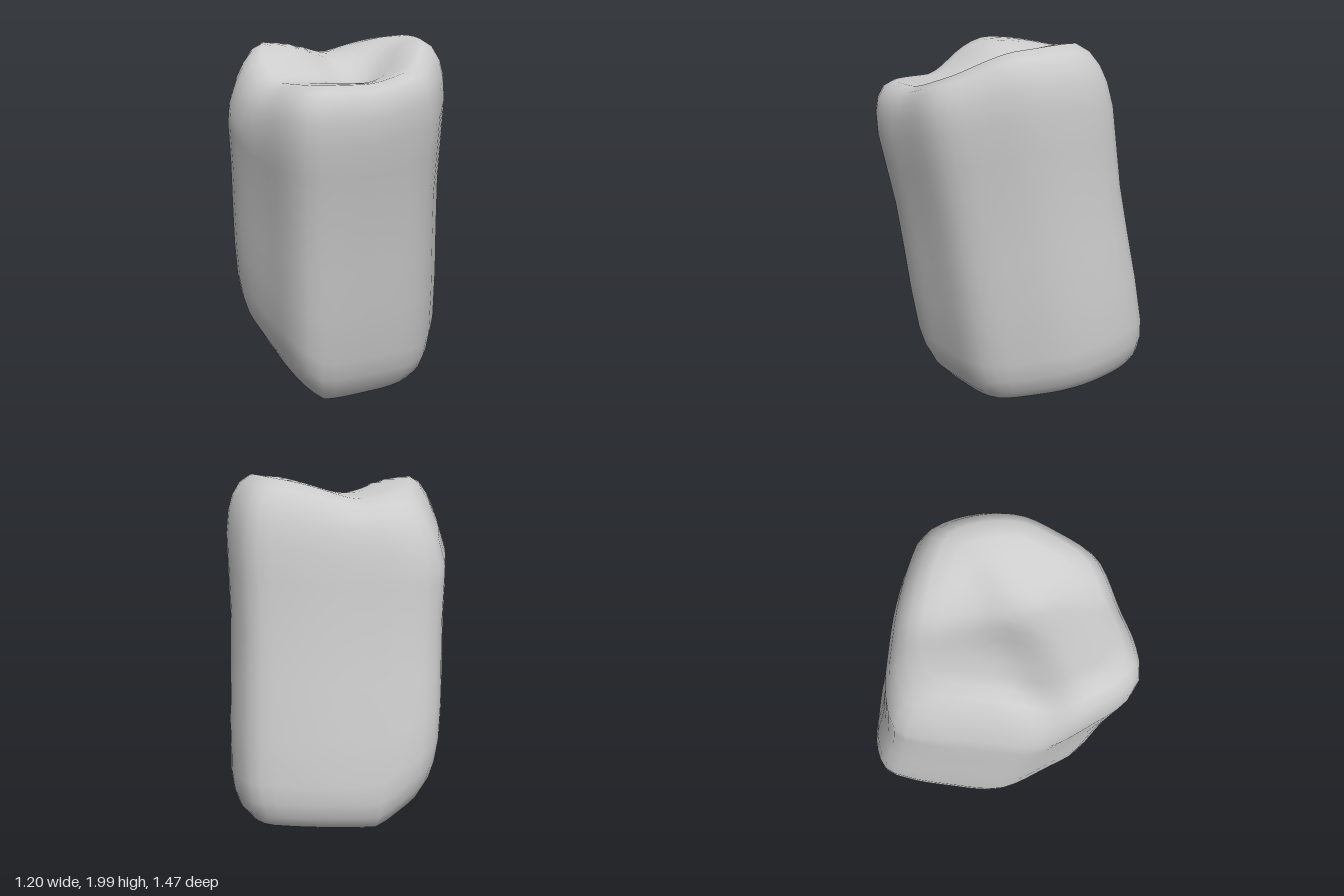
import * as THREE from 'three';

const { smoothstep, lerp } = THREE.MathUtils;
const bump = (x, z, cx, cz, r) => Math.exp(-((x - cx) ** 2 + (z - cz) ** 2) / (r * r));

// Underside: lowest near the front, rising to the back and strongly to the left
const bottomHeight = (x, z) => 0.2 * Math.max(0, 0.25 - z)
  + 0.65 * Math.max(0, -0.1 - 0.12 * smoothstep(-z, -0.1, 0.5) - x);

// Crown: raised rim at the back and right, hollow in the middle, lower ledge in front
function topHeight(x, z) {
  const rightRim = smoothstep(x, 0.1, 0.44);
  const ledge = smoothstep(z + 0.35 * x - 0.14, -0.25, 0.19);
  return 1.965 - 0.2 * ledge * (1 - rightRim)
    - 0.13 * rightRim * smoothstep(z, 0.05, 0.5)
    + 0.035 * bump(x, z, 0.36, -0.18, 0.25)
    - 0.06 * bump(x, z, -0.12, -0.35, 0.2)
    - 0.09 * bump(x, z, 0.02, 0.02, 0.22)
    - 0.1 * bump(x, z, -0.6, -0.5, 0.3);
}

// Horizontal outline at mid height, as x, z pairs
const outline = new THREE.CatmullRomCurve3([
  [-0.19, 0.65], [-0.03, 0.63], [0.17, 0.54], [0.42, 0.4], [0.49, 0.31], [0.55, 0.12],
  [0.585, -0.05], [0.58, -0.22], [0.52, -0.42], [0.44, -0.54], [0.33, -0.58], [0.1, -0.62],
  [-0.13, -0.63], [-0.35, -0.62], [-0.52, -0.55], [-0.57, -0.4], [-0.595, -0.15],
  [-0.605, 0.02], [-0.585, 0.15], [-0.4, 0.43], [-0.29, 0.58],
].map(([x, z]) => new THREE.Vector3(x, 0, z)), true);

// Rings from underside to crown: [outline scale, height share, lift above bottom or below top]
const rings = [
  [0.25, 0, 0], [0.5, 0, 0], [0.75, 0, 0.005], [0.86, 0, 0.03], [0.94, 0, 0.09], [0.985, 0, 0.17], [1.01, 0, 0.28],
  [1.01, 0.3, 0], [0.995, 0.45, 0], [0.985, 0.6, 0], [1, 0.74, 0],
  [1.01, 1, -0.3], [0.99, 1, -0.18], [0.95, 1, -0.1], [0.88, 1, -0.035], [0.78, 1, 0],
  [0.65, 1, 0], [0.52, 1, 0], [0.39, 1, 0], [0.26, 1, 0], [0.13, 1, 0],
];

function pointOnRock(px, pz, scale, share, lift) {
  let x = px * scale, z = pz * scale, y = share * 2;
  // The body leans forward with height, so solve height and lean together
  for (let i = 0; i < 4; i++) {
    z = pz * scale + 0.165 * (y - 1);
    y = lerp(bottomHeight(x, z), topHeight(x, z), share) + lift;
  }
  // Narrow the left flank towards the foot and the crown
  if (x < 0) x *= 1 - 0.08 * (1 - smoothstep(y, 0.2, 1.4)) - 0.12 * smoothstep(y, 1.5, 1.95);
  return [x, y, z];
}

function rockGeometry(sides = 56) {
  const loop = outline.getSpacedPoints(sides).slice(0, sides);
  const positions = [], index = [];
  for (const ring of rings) for (const p of loop) positions.push(...pointOnRock(p.x, p.z, ...ring));

  for (let r = 0; r < rings.length - 1; r++) {
    for (let i = 0; i < sides; i++) {
      const j = (i + 1) % sides;
      const a = r * sides + i, b = r * sides + j;
      index.push(a, b, b + sides, a, b + sides, a + sides);
    }
  }
  // Close both ends on a centre point
  const low = positions.length / 3, high = low + 1, last = (rings.length - 1) * sides;
  positions.push(...pointOnRock(0, 0, 0, 0, 0), ...pointOnRock(0, 0, 0, 1, 0));
  for (let i = 0; i < sides; i++) {
    const j = (i + 1) % sides;
    index.push(low, j, i, high, last + i, last + j);
  }

  const geometry = new THREE.BufferGeometry();
  geometry.setAttribute('position', new THREE.Float32BufferAttribute(positions, 3));
  geometry.setIndex(index);
  // Stand on the ground, centred
  geometry.computeBoundingBox();
  const { min, max } = geometry.boundingBox;
  geometry.translate(-(min.x + max.x) / 2, -min.y, -(min.z + max.z) / 2);
  geometry.computeVertexNormals();
  return geometry;
}

export function createModel() {
  const group = new THREE.Group();
  group.name = 'boulder';
  const rock = new THREE.Mesh(rockGeometry(), new THREE.MeshStandardMaterial({ color: 0xcccccc }));
  rock.name = 'rock';
  group.add(rock);
  return group;
}
